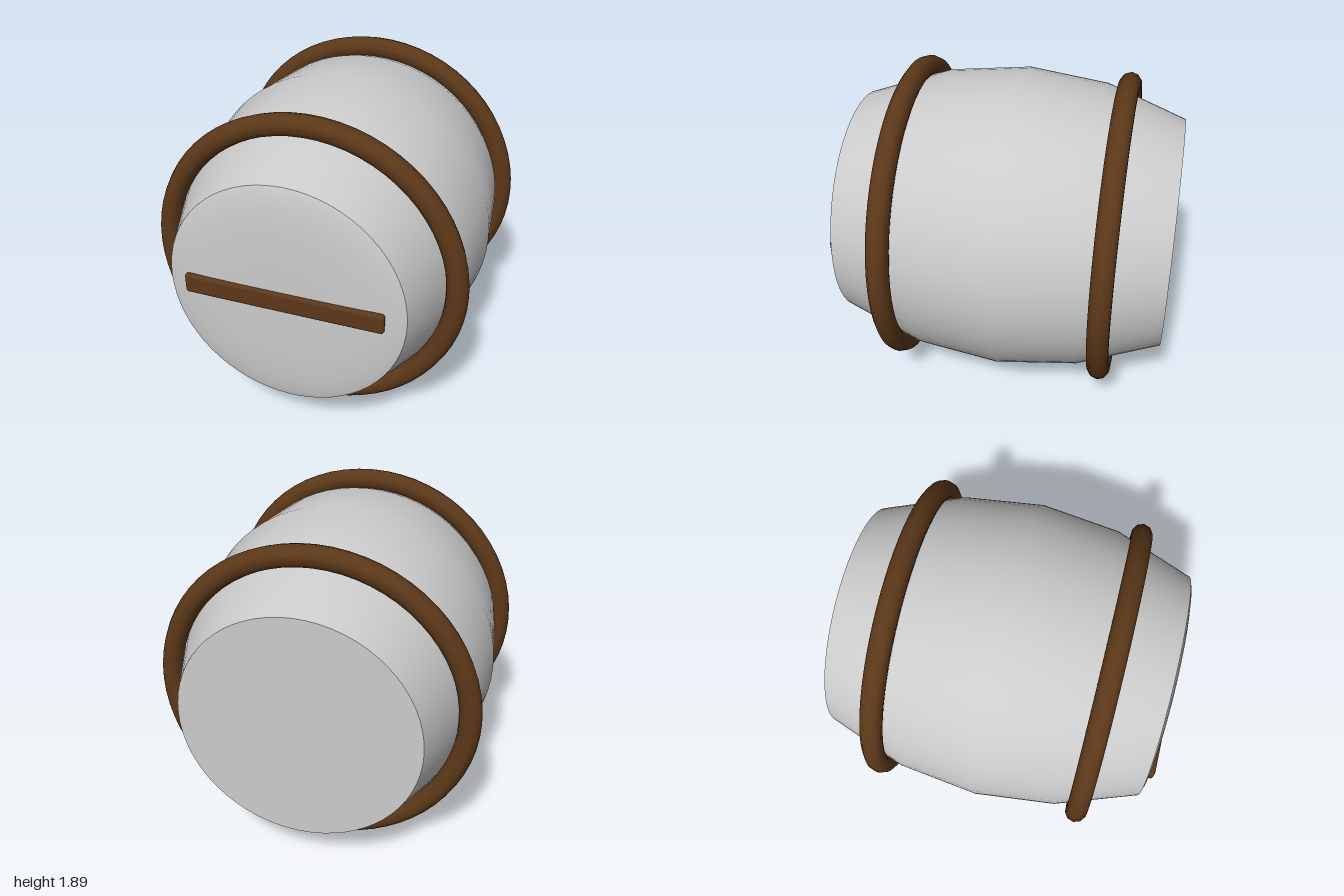
import * as THREE from 'three';
import { RoundedBoxGeometry } from 'three/addons/geometries/RoundedBoxGeometry.js';

const CENTER_Y = 0.955;
const SEGMENTS = 64;

// Surface of revolution about the z axis from [radius, z] pairs, back to front
function latheZ(profile) {
  const points = profile.map(([r, z]) => new THREE.Vector2(r, z));
  return new THREE.LatheGeometry(points, SEGMENTS).rotateX(Math.PI / 2);
}

export function createModel() {
  const model = new THREE.Group();
  model.name = 'barrel';
  const grey = new THREE.MeshStandardMaterial({ color: 0xcccccc });
  const brown = new THREE.MeshStandardMaterial({ color: 0x5c3819 });

  function add(name, geometry, material, z = 0) {
    const mesh = new THREE.Mesh(geometry, material);
    mesh.name = name;
    mesh.position.set(0, CENTER_Y, z);
    model.add(mesh);
  }

  // Bulging barrel wall
  add('barrelWall', latheZ([
    [0.695, -1], [0.87, -0.515], [0.927, -0.03], [0.87, 0.455], [0.695, 0.94],
  ]), grey);

  // Slightly domed front lid and flat back
  add('frontLid', latheZ([
    [0.695, 0.94], [0.66, 0.952], [0.58, 0.965], [0.45, 0.976], [0.25, 0.979], [0, 0.98],
  ]), grey);
  add('backLid', new THREE.CircleGeometry(0.695, SEGMENTS).rotateY(Math.PI), grey, -1);

  // Hoops
  for (const [name, z] of [['frontHoop', 0.595], ['backHoop', -0.65]]) {
    add(name, new THREE.TorusGeometry(0.882, 0.065, 10, SEGMENTS), brown, z);
  }

  // Bar across the front lid
  add('lidBar', new RoundedBoxGeometry(1.165, 0.12, 0.04, 3, 0.018), brown, 0.98);

  return model;
}
